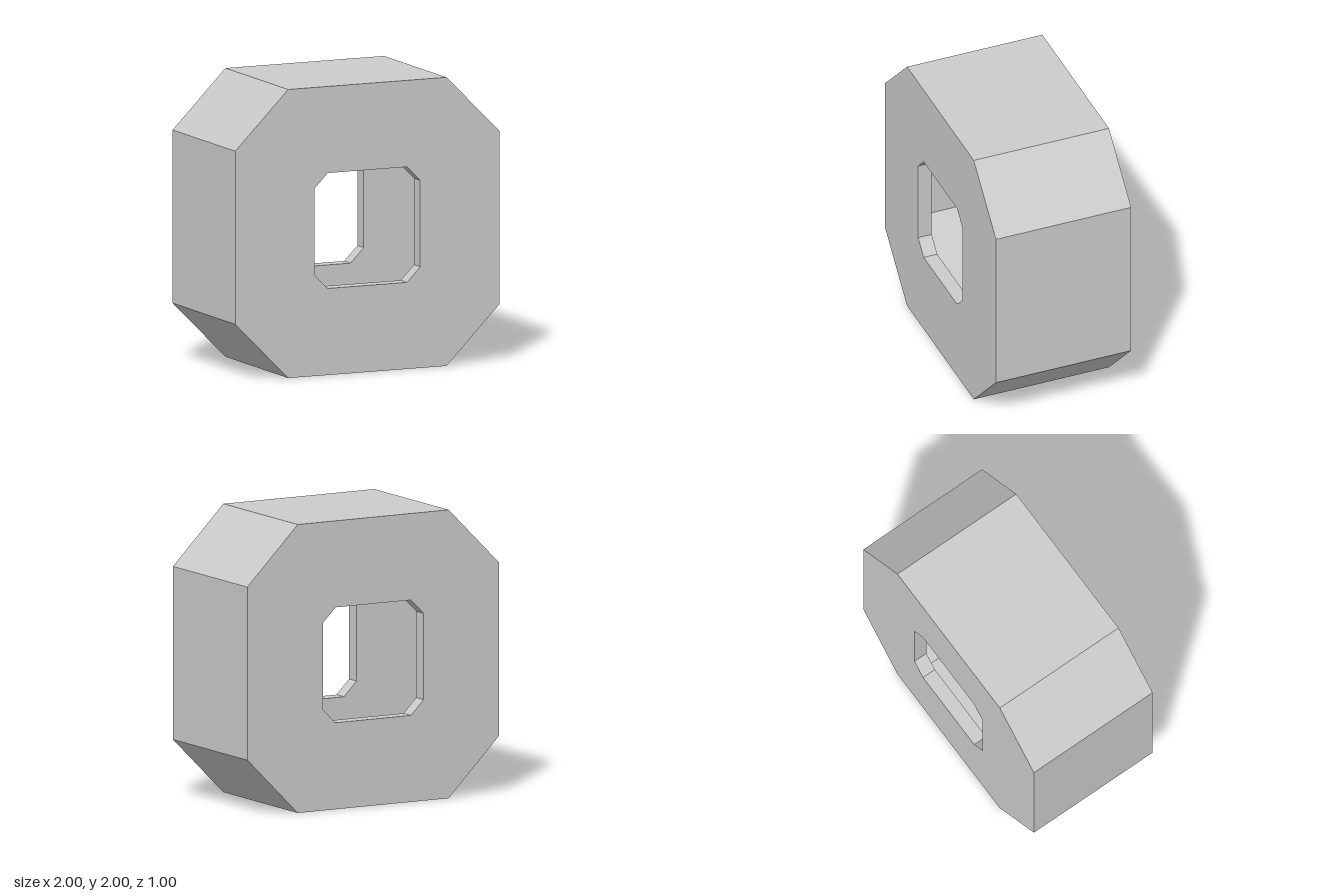
import * as THREE from 'three';
import { mergeGeometries } from 'three/addons/utils/BufferGeometryUtils.js';

const OUTER = [1, 0.4];   // half width, corner cut
const CAVITY = [0.9, 0.4];
const OPENING = [0.4, 0.1];
const HALF_DEPTH = 0.5, WALL = 0.1;

// Counter-clockwise square outline with cut corners
function outline([h, c]) {
  const k = h - c;
  return [[h, -k], [h, k], [k, h], [-k, h], [-h, k], [-h, -k], [-k, -h], [k, -h]]
    .map(([x, y]) => new THREE.Vector2(x, y));
}

// Flat face with the central opening, looking along +z or -z
function face(size, z, facing) {
  const shape = new THREE.Shape(outline(size));
  shape.holes.push(new THREE.Path(outline(OPENING)));
  const g = new THREE.ShapeGeometry(shape);
  if (facing < 0) g.rotateY(Math.PI);
  g.translate(0, 0, z);
  return g.toNonIndexed();
}

// Band of flat sides between two depths, facing outward or inward
function band(size, z0, z1, outward) {
  const pts = outline(size), pos = [], uv = [];
  pts.forEach((a, i) => {
    const b = pts[(i + 1) % pts.length];
    const [p, q] = outward ? [a, b] : [b, a];
    pos.push(p.x, p.y, z0, q.x, q.y, z0, q.x, q.y, z1);
    pos.push(p.x, p.y, z0, q.x, q.y, z1, p.x, p.y, z1);
    uv.push(0, 0, 1, 0, 1, 1, 0, 0, 1, 1, 0, 1);
  });
  const g = new THREE.BufferGeometry();
  g.setAttribute('position', new THREE.Float32BufferAttribute(pos, 3));
  g.setAttribute('uv', new THREE.Float32BufferAttribute(uv, 2));
  g.computeVertexNormals();
  return g;
}

export function createModel() {
  const group = new THREE.Group();
  group.name = 'hollowOctagonalBlock';
  const material = new THREE.MeshStandardMaterial({ color: 0xcccccc, flatShading: true });
  const D = HALF_DEPTH, I = HALF_DEPTH - WALL;

  const add = (name, parts) => {
    const mesh = new THREE.Mesh(mergeGeometries(parts), material);
    mesh.name = name;
    mesh.position.y = 1;
    group.add(mesh);
  };

  // Outside shell
  add('outerShell', [band(OUTER, -D, D, true), face(OUTER, D, 1), face(OUTER, -D, -1)]);
  // Hollow inside, facing into the cavity
  add('innerCavity', [band(CAVITY, -I, I, false), face(CAVITY, I, -1), face(CAVITY, -I, 1)]);
  // Rims of the front and back openings
  add('frontOpeningRim', [band(OPENING, I, D, false)]);
  add('backOpeningRim', [band(OPENING, -D, -I, false)]);

  return group;
}
